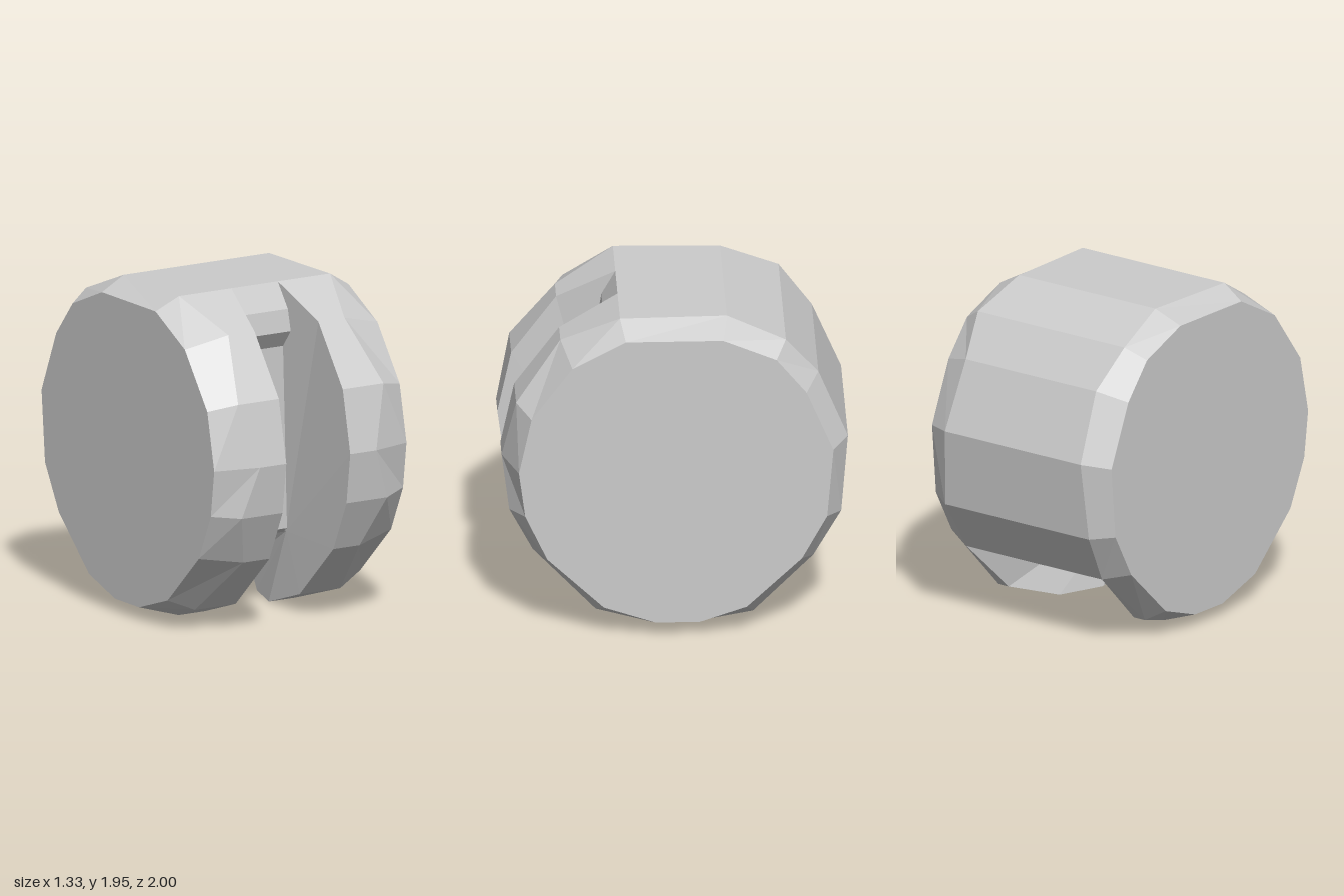
import * as THREE from 'three';

const material = new THREE.MeshStandardMaterial({ color: 0xcccccc, flatShading: true });

// Rim profile [z, y, inner x, chamfer x], running top -> back -> bottom -> front.
const rim = [
  [0.32, 1.95, 0.16, 0.52], [-0.3, 1.95, 0.22, 0.5], [-0.64, 1.81, 0.22, 0.54], [-0.83, 1.58, 0.22, 0.48],
  [-1, 1.18, 0.22, 0.5], [-0.96, 0.72, 0.22, 0.53], [-0.8, 0.43, 0.5, 0.5], [-0.45, 0.1, 0.46, 0.54],
  [-0.15, 0, 0.32, 0.44], [0.13, 0, 0.22, 0.4], [0.46, 0.11, 0.22, 0.5], [0.82, 0.45, 0.22, 0.4],
  [0.96, 0.75, 0.22, 0.5], [1, 1.05, 0.22, 0.4], [0.92, 1.42, 0.22, 0.5], [0.66, 1.77, 0.22, 0.4],
];
const bridgeBack = 7; // rim points shared with the bridge

// Wall and floor of the slot [z, y, half width], sunk into the side lobes.
const slot = [[0.3, 0.45, 0.3], [0.34, 0.48, 0.3], [0.35, 1.57, 0.3], [0.42, 1.67, 0.3], [0.4, 1.8, 0.26]];

function makeMesh(name, triangles, flip) {
  const pos = [];
  for (const [a, b, c] of triangles) pos.push(...a, ...(flip ? c : b), ...(flip ? b : c));
  const geometry = new THREE.BufferGeometry();
  geometry.setAttribute('position', new THREE.Float32BufferAttribute(pos, 3));
  geometry.computeVertexNormals();
  const mesh = new THREE.Mesh(geometry, material);
  mesh.name = name;
  return mesh;
}

// Closed band between two loops
function band(a, b) {
  const out = [];
  a.forEach((p, i) => {
    const n = (i + 1) % a.length;
    out.push([p, a[n], b[n]], [p, b[n], b[i]]);
  });
  return out;
}

// Fan cap around a centre point
function cap(loop, centre, outward) {
  return loop.map((p, i) => {
    const n = loop[(i + 1) % loop.length];
    return outward ? [centre, n, p] : [centre, p, n];
  });
}

// Rounded side lobe: flat outer disc, chamfer, rim and inner wall
function makeLobe(name, side, discScale) {
  const disc = rim.map(([z, y]) => [side * 0.665, 0.98 + (y - 0.98) * discScale, z * discScale]);
  const chamfer = rim.map(([z, y, , x]) => [side * x, y, z]);
  const inner = rim.map(([z, y, x]) => [side * x, y, z]);
  return makeMesh(name, [
    ...cap(disc, [side * 0.665, 0.98, 0], true),
    ...band(disc, chamfer),
    ...band(chamfer, inner),
    ...cap(inner, [side * 0.21, 0.46, 0.33], false),
  ], side < 0);
}

// Middle bridge joining the lobes, open to the front and below
function makeBridge() {
  const outline = [...rim.slice(0, bridgeBack).map(([z, y, x]) => [z, y, x]), ...slot];
  const loop = (side) => outline.map(([z, y, x]) => [side * x, y, z]);
  return makeMesh('bridge', band(loop(1), loop(-1)), false);
}

export function createModel() {
  const group = new THREE.Group();
  group.name = 'slottedDrum';
  group.add(makeLobe('leftLobe', 1, 0.91), makeLobe('rightLobe', -1, 0.92), makeBridge());
  return group;
}
